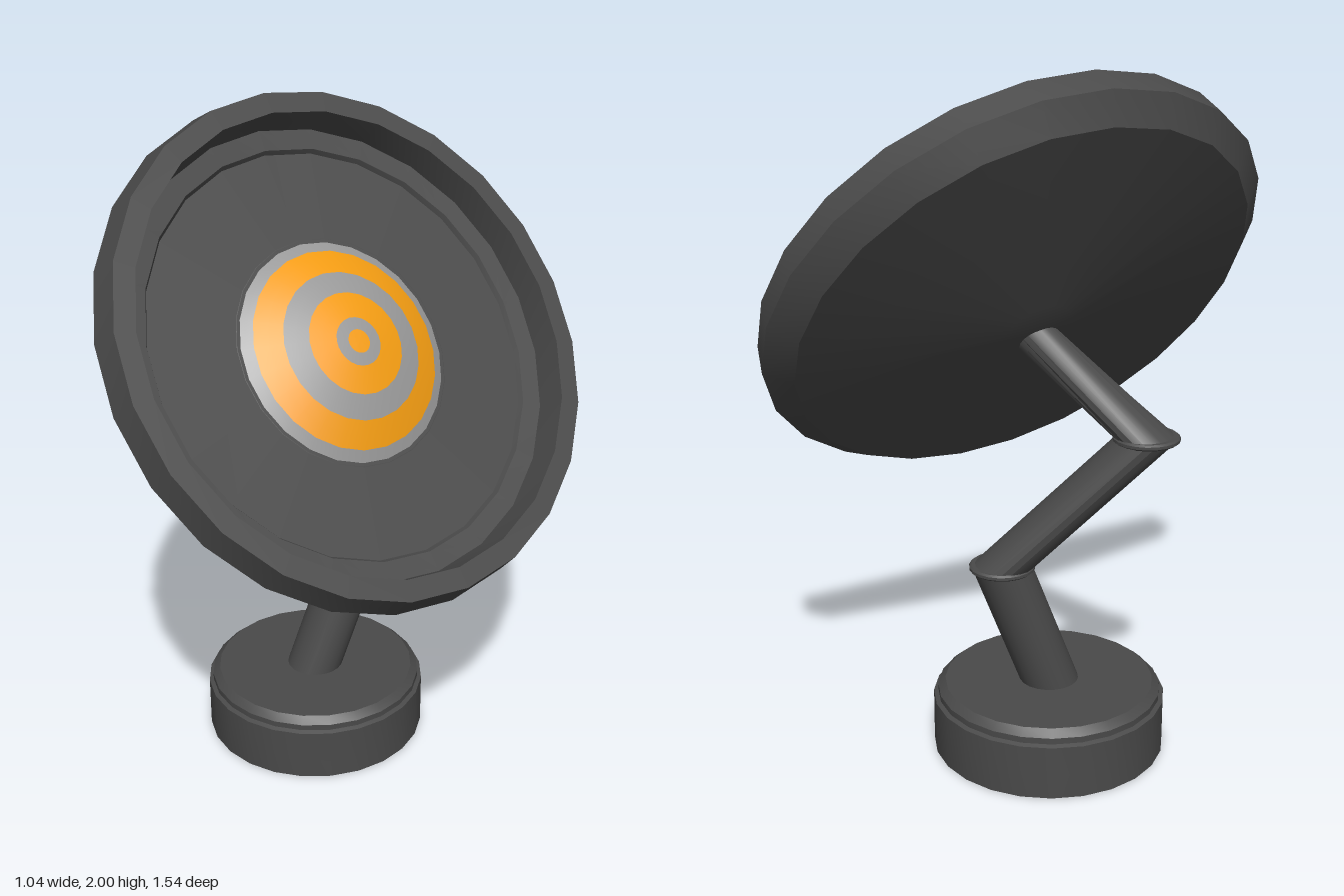
import * as THREE from 'three';
import { toCreasedNormals } from 'three/addons/utils/BufferGeometryUtils.js';

const DARK = 0x4a4a4a, GREY = 0x999999, ORANGE = 0xf39c12;
const SIDES = 24;

function part(name, geometry, color) {
  const material = new THREE.MeshStandardMaterial({ color, side: THREE.DoubleSide });
  const mesh = new THREE.Mesh(toCreasedNormals(geometry, 0.35), material);
  mesh.name = name;
  return mesh;
}

// Turned part from [radius, height] pairs
function turned(name, profile, color, sides = SIDES) {
  return part(name, new THREE.LatheGeometry(profile.map(p => new THREE.Vector2(...p)), sides), color);
}

// Skewed tube through rings: { c: centre, r: radius, u: in-plane axis (the other is z) }
function loft(name, rings, color) {
  const n = 20, pos = [], index = [];
  const ends = [{ ...rings[0], r: 0 }, ...rings, { ...rings[rings.length - 1], r: 0 }];
  ends.forEach(({ c, r, u = [1, 0] }, j) => {
    for (let i = 0; i < n; i++) {
      const a = (i / n) * Math.PI * 2, k = r * Math.cos(a);
      pos.push(c[0] + k * u[0], c[1] + k * u[1], c[2] + r * Math.sin(a));
      if (j === 0) continue;
      const i2 = (i + 1) % n, lo = (j - 1) * n, up = j * n;
      index.push(lo + i, up + i, lo + i2, lo + i2, up + i, up + i2);
    }
  });
  const g = new THREE.BufferGeometry();
  g.setAttribute('position', new THREE.Float32BufferAttribute(pos, 3));
  g.setIndex(index);
  return part(name, g, color);
}

export function createModel() {
  const model = new THREE.Group();
  model.name = 'dishOnArm';

  // Hollow round base with a stepped, bevelled lid
  const base = turned('base', [
    [0.345, 0], [0.345, 0.16], [0.332, 0.165], [0.332, 0.183], [0.31, 0.203], [0, 0.203],
  ], DARK);
  base.position.x = -0.18;
  model.add(base);

  // Bent arm: three segments with level joints, the last one meeting the dish
  const foot = [-0.185, 0.15, 0.02], knee = [-0.145, 0.58, -0.14];
  const elbow = [-0.37, 0.98, 0.2], mount = [-0.065, 1.245, 0];
  const r = 0.088;
  model.add(
    loft('lowerArm', [{ c: foot, r }, { c: knee, r }], DARK),
    loft('middleArm', [{ c: knee, r }, { c: elbow, r }], DARK),
    loft('upperArm', [{ c: elbow, r }, { c: mount, r: 0.062, u: [0.6, -0.8] }], DARK),
  );

  // Thin collars at the two joints
  for (const [name, c] of [['kneeCollar', knee], ['elbowCollar', elbow]]) {
    const collar = turned(name, [
      [0, -0.009], [0.09, -0.009], [0.096, -0.004], [0.096, 0.004], [0.09, 0.009], [0, 0.009],
    ], DARK, 20);
    collar.position.set(...c);
    model.add(collar);
  }

  // Tilted dish; its local y is the facing direction
  const dish = new THREE.Group();
  dish.name = 'dish';
  dish.position.set(0.065, 1.4, 0);
  dish.quaternion.setFromUnitVectors(new THREE.Vector3(0, 1, 0), new THREE.Vector3(0.8, 0.6, 0));
  model.add(dish);

  // Shallow conical back, thick rim and recessed floor with a small step
  dish.add(turned('dishShell', [
    [0, -0.238], [0.1, -0.228], [0.70, -0.155], [0.77, -0.09], [0.752, 0], [0.69, 0],
    [0.68, -0.095], [0.62, -0.1], [0.612, -0.115], [0, -0.118],
  ], DARK));

  // Domed centre: alternating rings
  const dome = q => [q, -0.03 - 0.78 * q * q];
  const radii = [0.345, 0.3, 0.222, 0.152, 0.072, 0.035, 0];
  for (let i = 0; i < radii.length - 1; i++) {
    const mid = (radii[i] + radii[i + 1]) / 2;
    dish.add(turned('targetRing' + (i + 1), [dome(radii[i]), dome(mid), dome(radii[i + 1])],
      i % 2 ? ORANGE : GREY));
  }

  // Dark edge around the dome
  dish.add(turned('domeEdge', [[0.353, -0.13], [0.353, -0.118], [0.343, -0.116]], DARK));

  return model;
}
